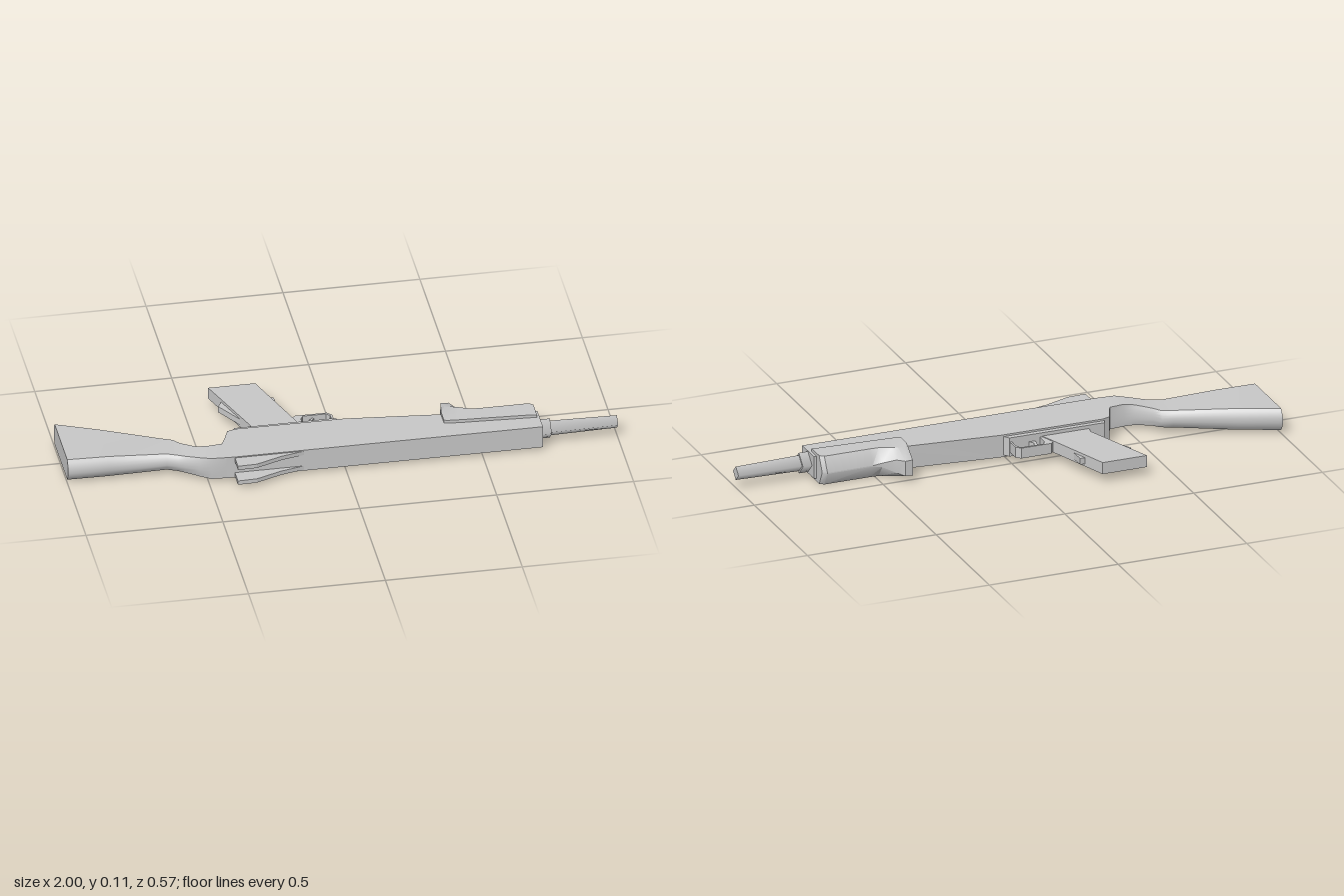
import * as THREE from 'three';
import { toCreasedNormals } from 'three/addons/utils/BufferGeometryUtils.js';

const MID = 0.056; // height of the symmetry plane; the model lies on its side

export function createModel() {
  const group = new THREE.Group();
  const grey = new THREE.MeshStandardMaterial({ color: 0xc8c8c8, side: THREE.DoubleSide });
  grey.name = 'grey';

  const add = (name, geometry) => {
    const mesh = new THREE.Mesh(geometry, grey);
    mesh.name = name;
    group.add(mesh);
  };

  // Plate with an [x, z] outline between two heights
  const plateGeometry = (outline, y0, y1, hole) => {
    const toPoints = (list) => list.map(([x, z]) => new THREE.Vector2(x, -z));
    const shape = new THREE.Shape(toPoints(outline));
    if (hole) shape.holes.push(new THREE.Path(toPoints(hole)));
    const geometry = new THREE.ExtrudeGeometry(shape, { depth: y1 - y0, bevelEnabled: false });
    geometry.rotateX(-Math.PI / 2);
    return geometry.translate(0, y0, 0);
  };
  const plate = (name, ...args) => add(name, toCreasedNormals(plateGeometry(...args), 0.3));

  // Hollow plate: same, without the face on the ground side
  const shell = (name, outline, y0, y1) => {
    const p = plateGeometry(outline, y0, y1).getAttribute('position').array;
    const kept = [];
    for (let i = 0; i < p.length; i += 9) {
      if (Math.max(p[i + 1], p[i + 4], p[i + 7]) > y0 + 0.001) kept.push(...p.slice(i, i + 9));
    }
    const geometry = new THREE.BufferGeometry();
    geometry.setAttribute('position', new THREE.Float32BufferAttribute(kept, 3));
    add(name, toCreasedNormals(geometry, 0.3));
  };

  // Hollow skin through cross-sections along x, open on the ground side;
  // each ring is a list of [y, z] from the upper z over the far side to the lower z
  const loft = (name, sections) => {
    const n = sections[0].ring.length;
    const positions = [];
    const index = [];
    for (const { x, ring } of sections) {
      for (const [y, z] of ring) positions.push(x, MID + y, z);
    }
    for (let s = 0; s < sections.length - 1; s++) {
      for (let i = 0; i < n - 1; i++) {
        const a = s * n + i, b = a + 1;
        index.push(a, b + n, b, a, a + n, b + n);
      }
    }
    const last = (sections.length - 1) * n;
    for (let i = 1; i < n - 1; i++) {
      index.push(0, i, i + 1, last, last + i + 1, last + i);
    }
    const geometry = new THREE.BufferGeometry();
    geometry.setAttribute('position', new THREE.Float32BufferAttribute(positions, 3));
    geometry.setIndex(index);
    add(name, toCreasedNormals(geometry, 0.6));
  };

  // Stock with rounded comb and belly: x, lower z, upper z, half width, rounding
  const arc = [-1, -0.75, -0.5, -0.2, 0.2, 0.5, 0.75, 1];
  loft('stock', [
    [-1, -0.13, 0.152, 0.042, 0.018],
    [-0.85, -0.067, 0.156, 0.041, 0.018],
    [-0.64, 0.023, 0.162, 0.033, 0.016],
    [-0.6, 0.042, 0.178, 0.033, 0.015],
    [-0.58, 0.072, 0.187, 0.034, 0.012],
    [-0.53, 0.118, 0.21, 0.039, 0.007],
    [-0.49, 0.134, 0.225, 0.043, 0.002],
    [-0.43, 0.13, 0.227, 0.043, 0],
  ].map(([x, lo, hi, w, c]) => ({
    x,
    ring: [
      ...arc.map((t) => [w * t, hi - c * t * t]),
      ...arc.map((t) => [-w * t, lo + c * t * t]),
    ],
  })));

  // Receiver running forward to the barrel block
  shell('receiver', [
    [-0.435, 0.227], [-0.435, 0.13], [-0.42, 0.1], [-0.4, 0.05],
    [-0.37, 0.04], [0.03, 0.042], [0.38, 0.078], [0.68, 0.085], [0.7, 0.115],
    [0.72, 0.117], [0.72, 0.228], [-0.4, 0.228],
  ], MID - 0.043, MID + 0.043);
  shell('magazineWell', [[-0.38, 0.05], [-0.37, 0.022], [0.0, 0.022], [0.02, 0.05]],
    MID - 0.036, MID + 0.036);

  // Rear sight wings, one on each side
  for (const side of [-1, 1]) {
    plate('sightWing', [
      [-0.405, 0.22], [-0.405, 0.286], [-0.335, 0.284], [-0.24, 0.248], [-0.14, 0.225], [-0.14, 0.22],
    ], MID + side * 0.031 - 0.008, MID + side * 0.031 + 0.008);
  }

  // Handguard with a keeled underside and a hand stop at its rear:
  // x, upper z, side edge z, bottom z, bottom half width
  loft('handguard', [
    [0.375, 0.138, 0.08, 0.06, 0.03],
    [0.392, 0.142, 0.05, -0.018, 0.03],
    [0.42, 0.144, 0.052, -0.018, 0.029],
    [0.442, 0.146, 0.06, 0.014, 0.025],
    [0.485, 0.148, 0.078, 0.044, 0.008],
    [0.52, 0.15, 0.08, 0.048, 0.002],
    [0.695, 0.16, 0.08, 0.05, 0.002],
    [0.71, 0.163, 0.092, 0.064, 0.002],
  ].map(([x, top, edge, bottom, w]) => ({
    x,
    ring: [[-0.055, top], [0.055, top], [0.055, edge], [w, bottom], [-w, bottom], [-0.055, edge]],
  })));

  // Four-sided barrel and collar
  const rod = (name, x0, x1, r0, r1) => {
    const geometry = new THREE.CylinderGeometry(r1, r0, x1 - x0, 4);
    geometry.rotateZ(-Math.PI / 2);
    geometry.translate((x0 + x1) / 2, MID + 0.001, 0.174);
    add(name, geometry);
  };
  rod('barrelCollar', 0.72, 0.755, 0.04, 0.04);
  rod('barrel', 0.755, 1, 0.031, 0.026);

  // Raked magazine with small lugs front and rear
  shell('magazine', [
    [-0.407, -0.286], [-0.235, -0.286], [-0.125, 0.03], [-0.31, 0.03], [-0.305, -0.005],
  ], MID - 0.022, MID + 0.023);
  plate('frontLug', [[-0.21, -0.196], [-0.185, -0.196], [-0.183, -0.14], [-0.19, -0.135]],
    MID - 0.012, MID + 0.012);
  plate('rearLug', [[-0.37, -0.2], [-0.375, -0.2], [-0.392, -0.172], [-0.33, -0.07]],
    MID - 0.012, MID + 0.012);

  // Trigger guard and curved trigger
  plate('triggerGuard', [
    [-0.15, 0.025], [-0.15, -0.03], [-0.135, -0.046], [-0.018, -0.046], [-0.002, -0.028], [-0.002, 0.025],
  ], MID - 0.02, MID + 0.02, [
    [-0.118, 0.022], [-0.118, -0.022], [-0.108, -0.038], [-0.023, -0.038], [-0.01, -0.024], [-0.01, 0.022],
  ]);
  plate('trigger', [
    [-0.1, 0.025], [-0.1, 0.005], [-0.092, -0.02], [-0.075, -0.036], [-0.068, -0.034],
    [-0.08, -0.018], [-0.088, 0.005], [-0.075, 0.025],
  ], MID - 0.009, MID + 0.009);

  return group;
}
